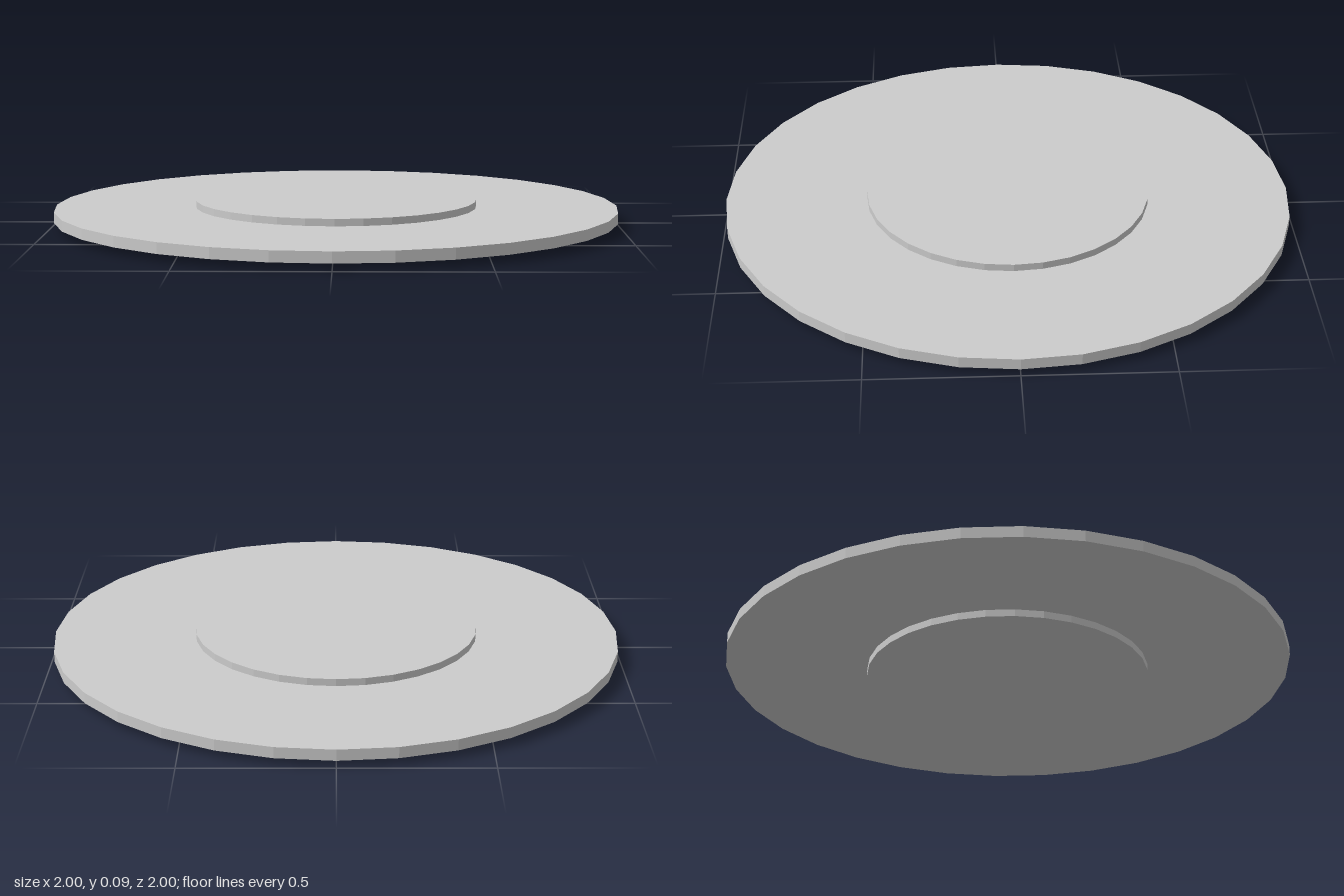
import * as THREE from 'three';

const HEIGHT = 0.088;
const SEGMENTS = 32;

export function createModel() {
  const group = new THREE.Group();
  group.name = 'steppedDisc';
  const material = new THREE.MeshStandardMaterial({ color: 0xcccccc, flatShading: true });

  // Both discs share the same mid-height
  const addDisc = (name, radius, thickness) => {
    const disc = new THREE.Mesh(
      new THREE.CylinderGeometry(radius, radius, thickness, SEGMENTS), material);
    disc.name = name;
    disc.position.y = HEIGHT / 2;
    group.add(disc);
  };

  addDisc('outerDisc', 1, 0.038); // wide thin plate
  addDisc('hub', 0.5, HEIGHT); // thicker centre, proud above and below

  return group;
}
